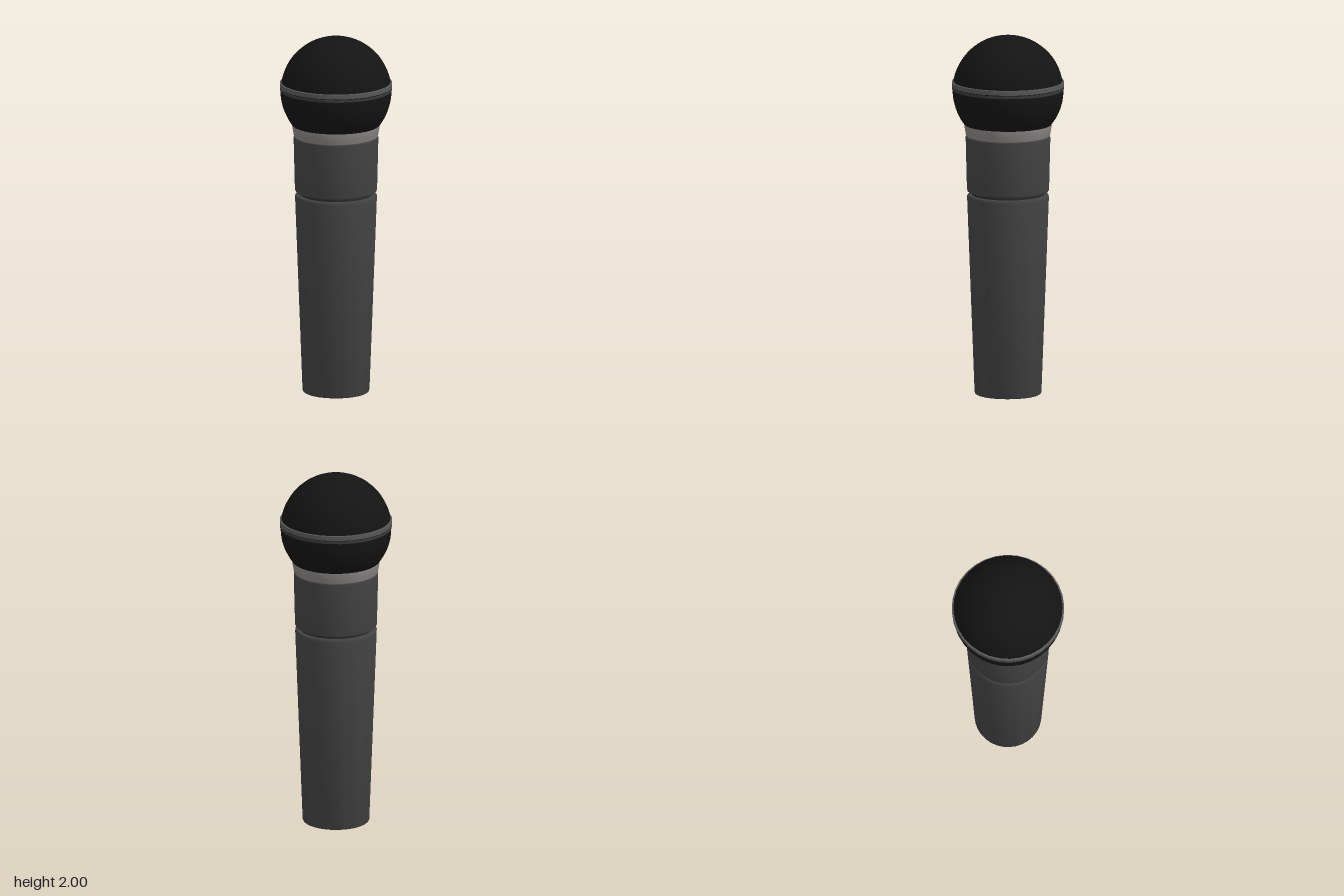
import * as THREE from 'three';
import { toCreasedNormals } from 'three/addons/utils/BufferGeometryUtils.js';

const SIDES = 32;

// Turn a [radius, height] profile, listed bottom to top, around the y axis.
function turned(name, profile, color) {
  const points = profile.map(([r, y]) => new THREE.Vector2(r, y));
  const geometry = toCreasedNormals(new THREE.LatheGeometry(points, SIDES), 0.6);
  const mesh = new THREE.Mesh(geometry, new THREE.MeshStandardMaterial({ color }));
  mesh.name = name;
  return mesh;
}

// Points of the spherical grille between two heights.
function ballArc(fromY, toY, steps) {
  const centre = 1.695, radius = 0.305;
  const a0 = Math.asin((fromY - centre) / radius);
  const a1 = Math.asin(Math.min(1, (toY - centre) / radius));
  return Array.from({ length: steps + 1 }, (_, i) => {
    const a = a0 + (a1 - a0) * i / steps;
    return [Math.max(0, radius * Math.cos(a)), centre + radius * Math.sin(a)];
  });
}

export function createModel() {
  const group = new THREE.Group();
  group.name = 'microphone';
  const body = 0x424242, grille = 0x141414, band = 0x585858;

  group.add(
    // Tapered handle with softened rims and a closed base
    turned('handle', [[0, 0], [0.176, 0], [0.181, 0.003], [0.184, 0.01],
      [0.225, 1.1], [0.224, 1.108], [0.219, 1.114], [0.195, 1.116]], body),
    // Recessed groove between handle and neck
    turned('groove', [[0.2, 1.1], [0.2, 1.15]], 0x2a2a2a),
    // Slightly flared neck
    turned('neck', [[0.195, 1.13], [0.218, 1.131], [0.224, 1.136], [0.226, 1.145],
      [0.233, 1.43], [0.232, 1.44], [0.226, 1.446], [0, 1.446]], body),
    // Light collar under the grille
    turned('collar', [[0.226, 1.44], [0.232, 1.446], [0.235, 1.465],
      [0.241, 1.5], [0.24, 1.507], [0.2, 1.507]], 0x858080),
    // Ball grille halves
    turned('lowerGrille', [[0, 1.505], ...ballArc(1.505, 1.71, 10)], grille),
    turned('upperGrille', ballArc(1.71, 2, 18), grille),
    // Band around the ball: main ring and a thinner lip beneath it
    turned('bandRing', [[0.295, 1.721], [0.309, 1.721], [0.309, 1.745], [0.295, 1.748]], band),
    turned('bandLip', [[0.295, 1.7], [0.308, 1.702], [0.308, 1.716], [0.295, 1.716]], 0x383838)
  );
  return group;
}
